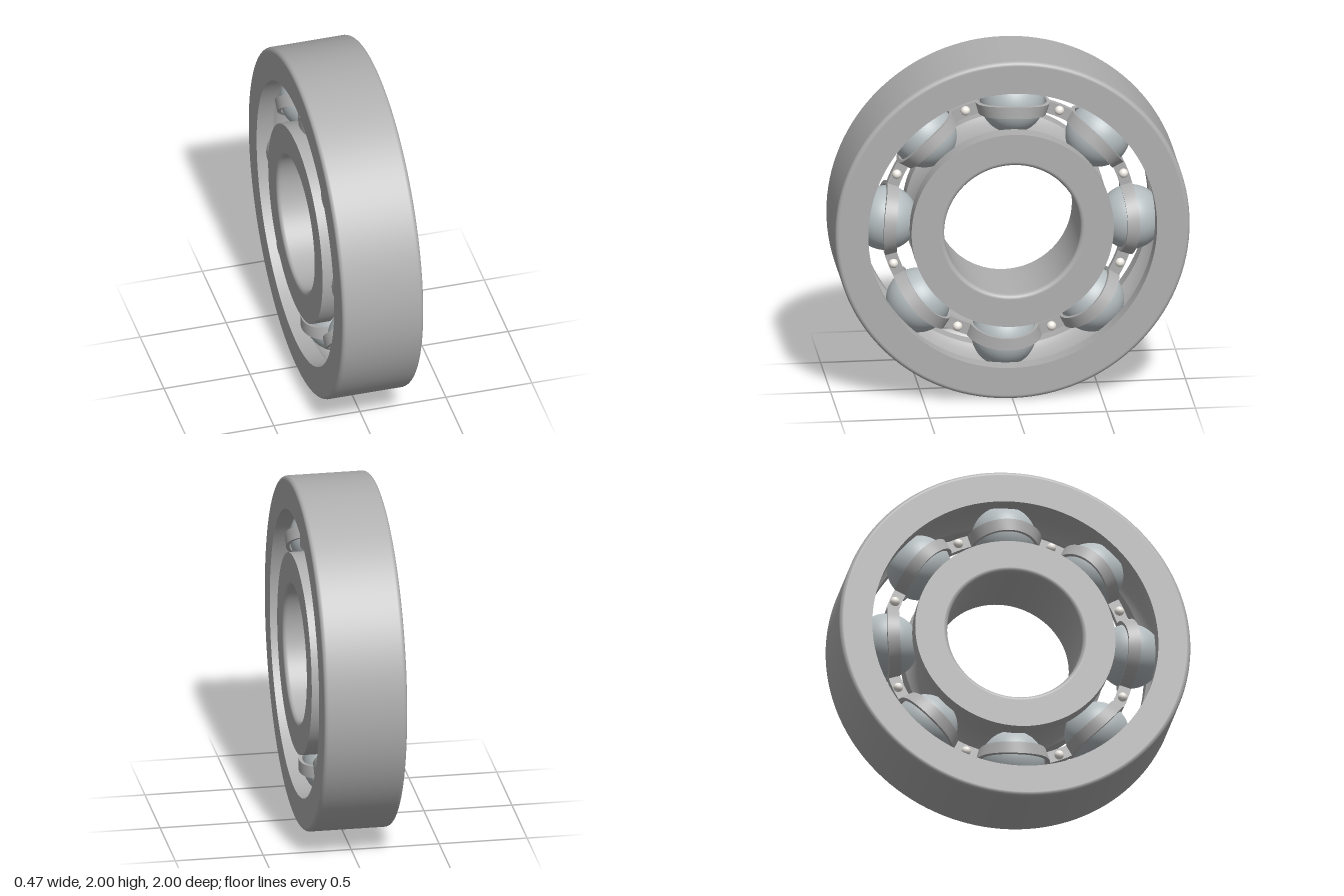
import * as THREE from 'three';
import { toCreasedNormals, mergeGeometries } from 'three/addons/utils/BufferGeometryUtils.js';

const HALF = 0.236;      // half width of the bearing
const FILLET = 0.025;
const PITCH = 0.692;     // radius of the circle of ball centres
const BALL = 0.182;
const GROOVE = 0.185;
const COUNT = 8;
const STEP = (Math.PI * 2) / COUNT;

const steel = new THREE.MeshStandardMaterial({ color: 0xb0b0b0 });
const ballSteel = new THREE.MeshStandardMaterial({ color: 0xb4bcbf });
const rivetSteel = new THREE.MeshStandardMaterial({ color: 0xf0ebe4 });

function addMesh(parent, name, geometry, material) {
  const mesh = new THREE.Mesh(geometry, material);
  mesh.name = name;
  parent.add(mesh);
  return mesh;
}

// Turns smooth profile pieces (radius, axial position) around the x axis;
// edges between the pieces stay sharp
function turned(pieces) {
  const g = mergeGeometries(pieces.map((p) => new THREE.LatheGeometry(p, 128)));
  return g.rotateZ(-Math.PI / 2);
}

// Straight piece of a profile parallel to the axis
const land = (r, from, to) => [new THREE.Vector2(r, from), new THREE.Vector2(r, to)];

// Outer ring: rounded outside edges, ball groove on the inside
function outerRingGeometry(rOut, rIn) {
  const a = Math.acos((rIn - PITCH) / GROOVE), g = GROOVE * Math.sin(a);
  const body = new THREE.Path();
  body.moveTo(rIn, -HALF);
  body.lineTo(rOut - FILLET, -HALF);
  body.absarc(rOut - FILLET, -HALF + FILLET, FILLET, -Math.PI / 2, 0, false);
  body.absarc(rOut - FILLET, HALF - FILLET, FILLET, 0, Math.PI / 2, false);
  body.lineTo(rIn, HALF);
  const groove = new THREE.Path().absarc(PITCH, 0, GROOVE, a, -a, true);
  return turned([body.getPoints(6), land(rIn, HALF, g), groove.getPoints(12), land(rIn, -g, -HALF)]);
}

// Inner ring: ball groove on the outside, rounded bore edges
function innerRingGeometry(rOut, rBore) {
  const a = Math.acos((rOut - PITCH) / GROOVE), g = GROOVE * Math.sin(a);
  const body = new THREE.Path();
  body.moveTo(rOut, HALF);
  body.lineTo(rBore + FILLET, HALF);
  body.absarc(rBore + FILLET, HALF - FILLET, FILLET, Math.PI / 2, Math.PI, false);
  body.absarc(rBore + FILLET, -HALF + FILLET, FILLET, Math.PI, Math.PI * 1.5, false);
  body.lineTo(rOut, -HALF);
  const groove = new THREE.Path().absarc(PITCH, 0, GROOVE, -a, a, true);
  return turned([body.getPoints(6), land(rOut, -HALF, -g), groove.getPoints(12), land(rOut, g, HALF)]);
}

// Half of the cage: a flat strip that arches over every ball
function cageHalfGeometry() {
  const r0 = 0.653, r1 = 0.722, inner = 0.186, outer = 0.206, thick = 0.02;
  const a0 = Math.asin(thick / outer), n = 28, flat = 4;
  const sections = [];
  const add = (base, sIn, xIn, sOut, xOut) =>
    sections.push({ tIn: base + sIn / PITCH, xIn, tOut: base + sOut / PITCH, xOut });
  for (let b = 0; b < COUNT; b++) {
    const base = b * STEP;
    for (let i = 0; i <= n; i++) {
      const u = i / n, ai = Math.PI * u, ao = a0 + (Math.PI - 2 * a0) * u;
      add(base, -inner * Math.cos(ai), inner * Math.sin(ai), -outer * Math.cos(ao), outer * Math.sin(ao));
    }
    const pitchLength = STEP * PITCH, edge = outer * Math.cos(a0);
    for (let i = 1; i < flat; i++) {
      const u = i / flat;
      add(base, inner + (pitchLength - 2 * inner) * u, 0, edge + (pitchLength - 2 * edge) * u, thick);
    }
  }
  const pos = [], index = [];
  const point = (r, t, x) => pos.push(x, r * Math.cos(t), r * Math.sin(t));
  for (const c of sections) {
    point(r0, c.tIn, c.xIn);
    point(r1, c.tIn, c.xIn);
    point(r1, c.tOut, c.xOut);
    point(r0, c.tOut, c.xOut);
  }
  for (let i = 0; i < sections.length; i++) {
    const p = i * 4, q = ((i + 1) % sections.length) * 4;
    for (let k = 0; k < 4; k++) {
      const l = (k + 1) % 4;
      index.push(p + k, q + k, p + l, p + l, q + k, q + l);
    }
  }
  const g = new THREE.BufferGeometry();
  g.setAttribute('position', new THREE.Float32BufferAttribute(pos, 3));
  g.setIndex(index);
  return toCreasedNormals(g, 0.6);
}

export function createModel() {
  const model = new THREE.Group();
  model.name = 'ballBearing';

  const bearing = new THREE.Group();
  bearing.name = 'bearing';
  bearing.position.y = 1;
  model.add(bearing);

  addMesh(bearing, 'outerRing', outerRingGeometry(1, 0.814), steel);
  addMesh(bearing, 'innerRing', innerRingGeometry(0.57, 0.384), steel);

  // Balls, cage and rivets turn together
  const rollers = new THREE.Group();
  rollers.name = 'ballsAndCage';
  rollers.rotation.x = -0.035;
  bearing.add(rollers);

  const cage = cageHalfGeometry();
  addMesh(rollers, 'cageLeft', cage, steel);
  addMesh(rollers, 'cageRight', cage, steel).rotation.y = Math.PI;

  const ball = new THREE.SphereGeometry(BALL, 48, 32);
  const rivetHead = new THREE.SphereGeometry(0.027, 20, 12);
  for (let i = 0; i < COUNT; i++) {
    const t = i * STEP, m = t + STEP / 2;
    addMesh(rollers, 'ball', ball, ballSteel).position.set(0, PITCH * Math.cos(t), PITCH * Math.sin(t));
    for (const side of [-1, 1]) {
      addMesh(rollers, 'rivetHead', rivetHead, rivetSteel)
        .position.set(side * 0.02, PITCH * Math.cos(m), PITCH * Math.sin(m));
    }
  }
  return model;
}
